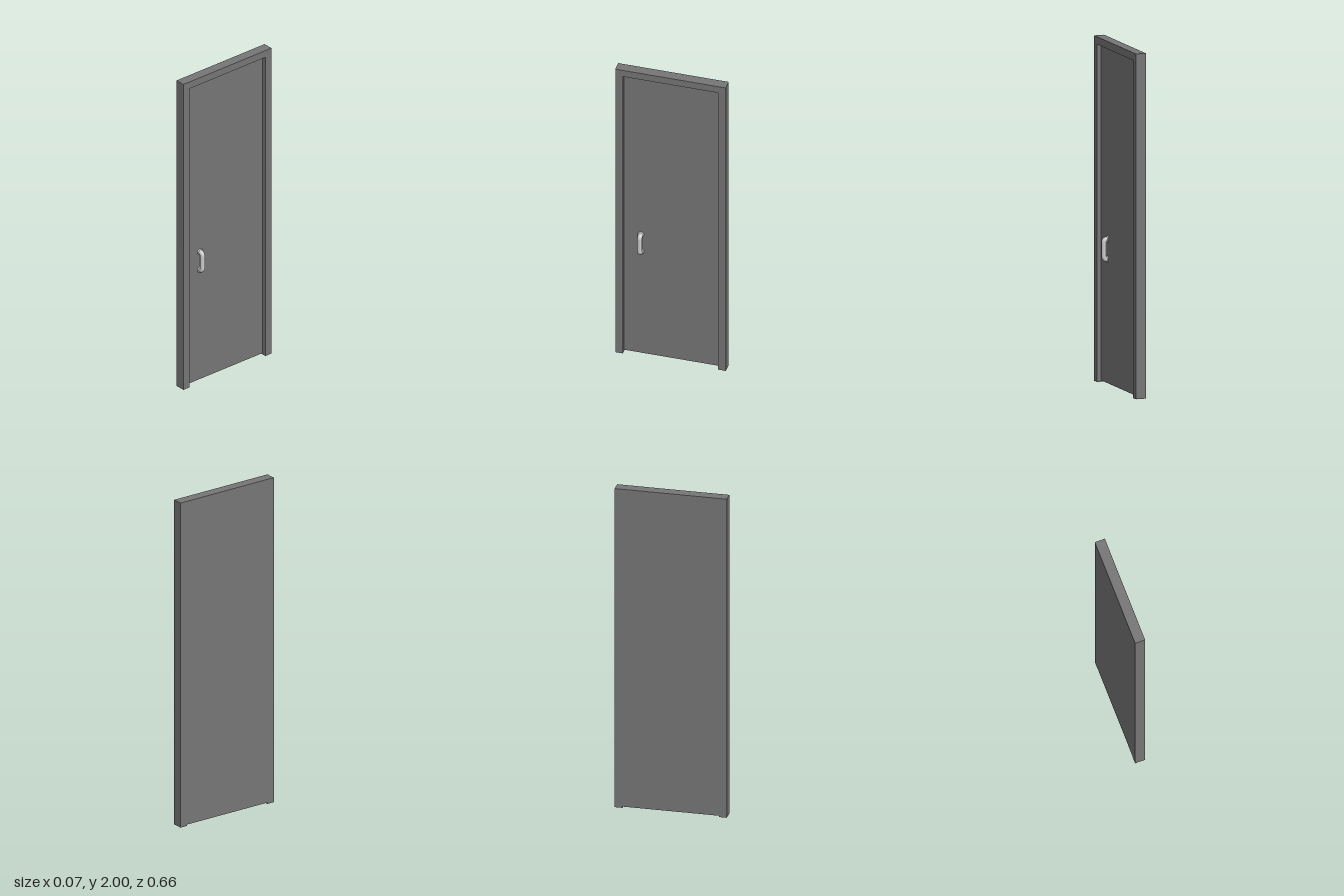
import * as THREE from 'three';

export function createModel() {
  const model = new THREE.Group();
  const doorMat = new THREE.MeshStandardMaterial({ color: 0x767676 });
  const handleMat = new THREE.MeshStandardMaterial({ color: 0xbcbcbc });
  const add = (name, geometry, material, parent = model) => {
    const mesh = new THREE.Mesh(geometry, material);
    mesh.name = name;
    parent.add(mesh);
    return mesh;
  };

  const back = -0.037, front = 0.024, face = -0.002;
  const outer = 0.328, inner = 0.283, lintel = 1.956;

  // Frame: two jambs and a lintel as one inverted U, extruded through its depth
  const u = new THREE.Shape();
  [[-outer, 0], [-inner, 0], [-inner, lintel], [inner, lintel],
    [inner, 0], [outer, 0], [outer, 2], [-outer, 2]]
    .forEach(([z, y], i) => (i ? u.lineTo(z, y) : u.moveTo(z, y)));
  const frame = new THREE.ExtrudeGeometry(u, { depth: front - back, bevelEnabled: false });
  frame.rotateY(Math.PI / 2).translate(back, 0, 0);
  add('doorFrame', frame, doorMat);

  // Door leaf, flush with the back of the frame and clear of the floor
  const gap = 0.008;
  const leaf = add('doorLeaf', new THREE.BoxGeometry(face - back, lintel - gap, 2 * inner), doorMat);
  leaf.position.set((face + back) / 2, (lintel + gap) / 2, 0);

  // Pull handle: a bent bar with a slightly flared foot at each end
  const handle = new THREE.Group();
  handle.name = 'handle';
  handle.position.set(face, 0.784, 0.184);
  model.add(handle);

  const half = 0.059, reach = 0.023, bend = 0.021, radius = 0.0142;
  const v = (x, y) => new THREE.Vector3(x, y, 0);
  const path = new THREE.CurvePath();
  path.add(new THREE.LineCurve3(v(0, -half), v(reach - bend, -half)));
  path.add(new THREE.QuadraticBezierCurve3(v(reach - bend, -half), v(reach, -half), v(reach, bend - half)));
  path.add(new THREE.LineCurve3(v(reach, bend - half), v(reach, half - bend)));
  path.add(new THREE.QuadraticBezierCurve3(v(reach, half - bend), v(reach, half), v(reach - bend, half)));
  path.add(new THREE.LineCurve3(v(reach - bend, half), v(0, half)));
  add('handleBar', new THREE.TubeGeometry(path, 48, radius, 20), handleMat, handle);

  const profile = [[0.019, 0], [0.019, 0.002], [0.017, 0.004], [radius, 0.006]]
    .map(([r, y]) => new THREE.Vector2(r, y));
  for (const s of [-1, 1]) {
    const foot = add('handleFoot', new THREE.LatheGeometry(profile, 24), handleMat, handle);
    foot.rotation.z = -Math.PI / 2;
    foot.position.y = s * half;
  }

  return model;
}
